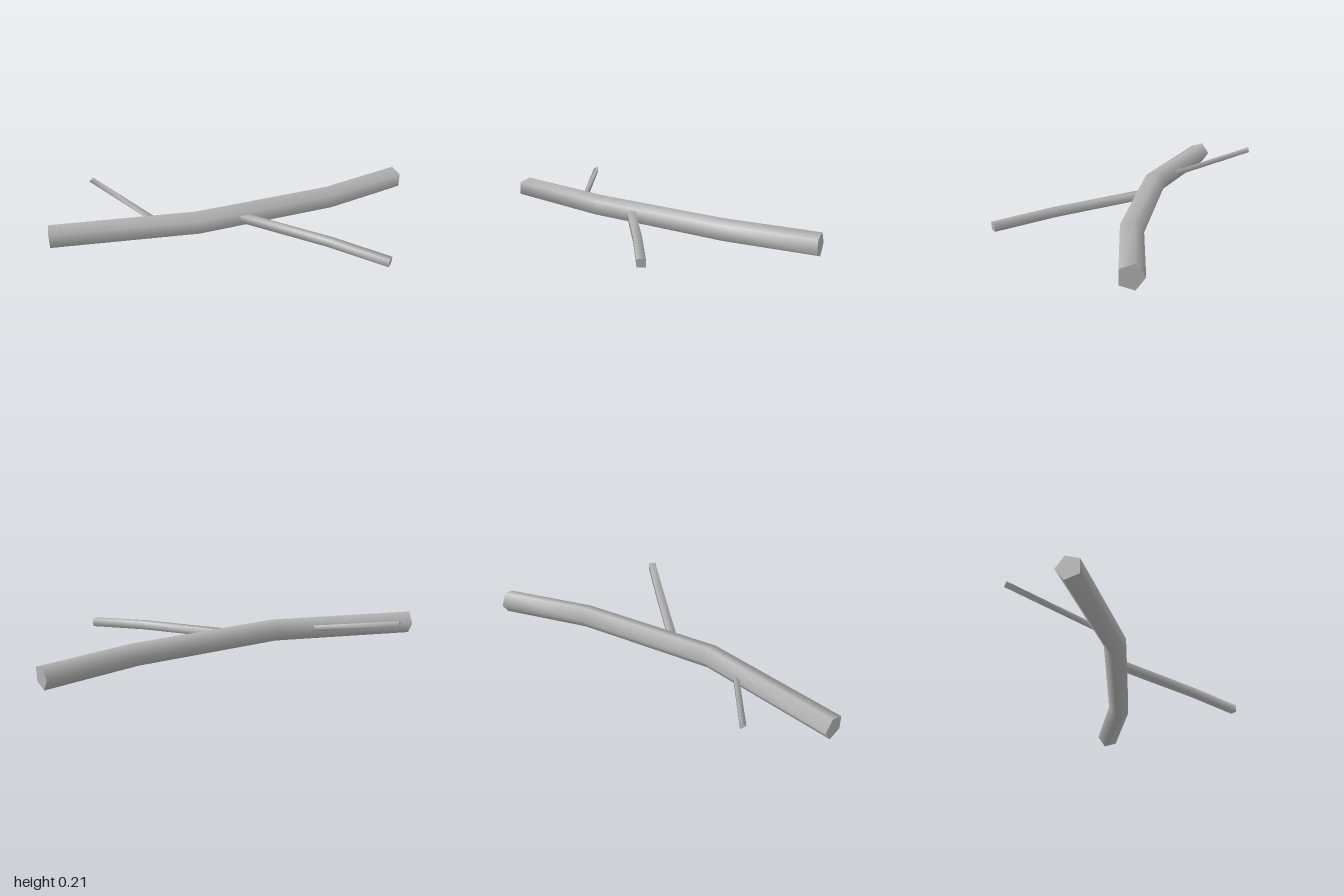
import * as THREE from 'three';

// Faceted tube along a path: mitred rings with smooth sides and flat end caps
function limbGeometry(path, radius, sides, turn = 0) {
  const pts = path.map((p) => new THREE.Vector3(...p));
  const up = new THREE.Vector3(0, 1, 0);
  const last = pts.length - 1;
  const rings = pts.map((p, i) => {
    const before = p.clone().sub(pts[Math.max(i - 1, 0)]).normalize();
    const after = pts[Math.min(i + 1, last)].clone().sub(p).normalize();
    const tangent = before.add(after).normalize();
    const side = up.clone().cross(tangent).normalize();
    const over = tangent.clone().cross(side);
    return Array.from({ length: sides }, (_, j) => {
      const a = turn + (j / sides) * Math.PI * 2;
      return p.clone().addScaledVector(side, radius * Math.cos(a)).addScaledVector(over, radius * Math.sin(a));
    });
  });

  const positions = [];
  const index = [];
  const add = (v) => positions.push(v.x, v.y, v.z);
  rings.flat().forEach(add);
  for (let i = 0; i < last; i++) {
    for (let j = 0; j < sides; j++) {
      const k = (j + 1) % sides;
      const a = i * sides + j, b = i * sides + k;
      index.push(a, b, b + sides, a, b + sides, a + sides);
    }
  }
  // Caps use their own vertices so their rims stay sharp
  [[rings[0], true], [rings[last], false]].forEach(([ring, flip]) => {
    const base = positions.length / 3;
    ring.forEach(add);
    for (let j = 1; j < sides - 1; j++) {
      index.push(base, base + (flip ? j + 1 : j), base + (flip ? j : j + 1));
    }
  });

  const geometry = new THREE.BufferGeometry();
  geometry.setAttribute('position', new THREE.Float32BufferAttribute(positions, 3));
  geometry.setIndex(index);
  geometry.computeVertexNormals();
  return geometry;
}

export function createModel() {
  const group = new THREE.Group();
  group.name = 'fallenBranch';
  const bark = new THREE.MeshStandardMaterial({ color: 0xb4b4b4 });
  bark.name = 'greyBark';

  const addLimb = (name, ...shape) => {
    const mesh = new THREE.Mesh(limbGeometry(...shape), bark);
    mesh.name = name;
    group.add(mesh);
  };

  // Five-sided main stem
  addLimb('mainStem', [
    [-0.992, 0.09, -0.178], [-0.25, 0.095, -0.074], [0.51, 0.075, -0.146], [0.981, 0.06, -0.276],
  ], 0.061, 5);

  // Square side branch reaching forward
  addLimb('frontBranch', [
    [-0.04, 0.092, -0.09], [0.35, 0.081, 0.285], [0.573, 0.06, 0.508],
  ], 0.028, 4, Math.PI / 4);

  // Three-sided twig rising at the back
  addLimb('backTwig', [[-0.43, 0.092, -0.12], [-0.721, 0.195, -0.515]], 0.018, 3);

  return group;
}
